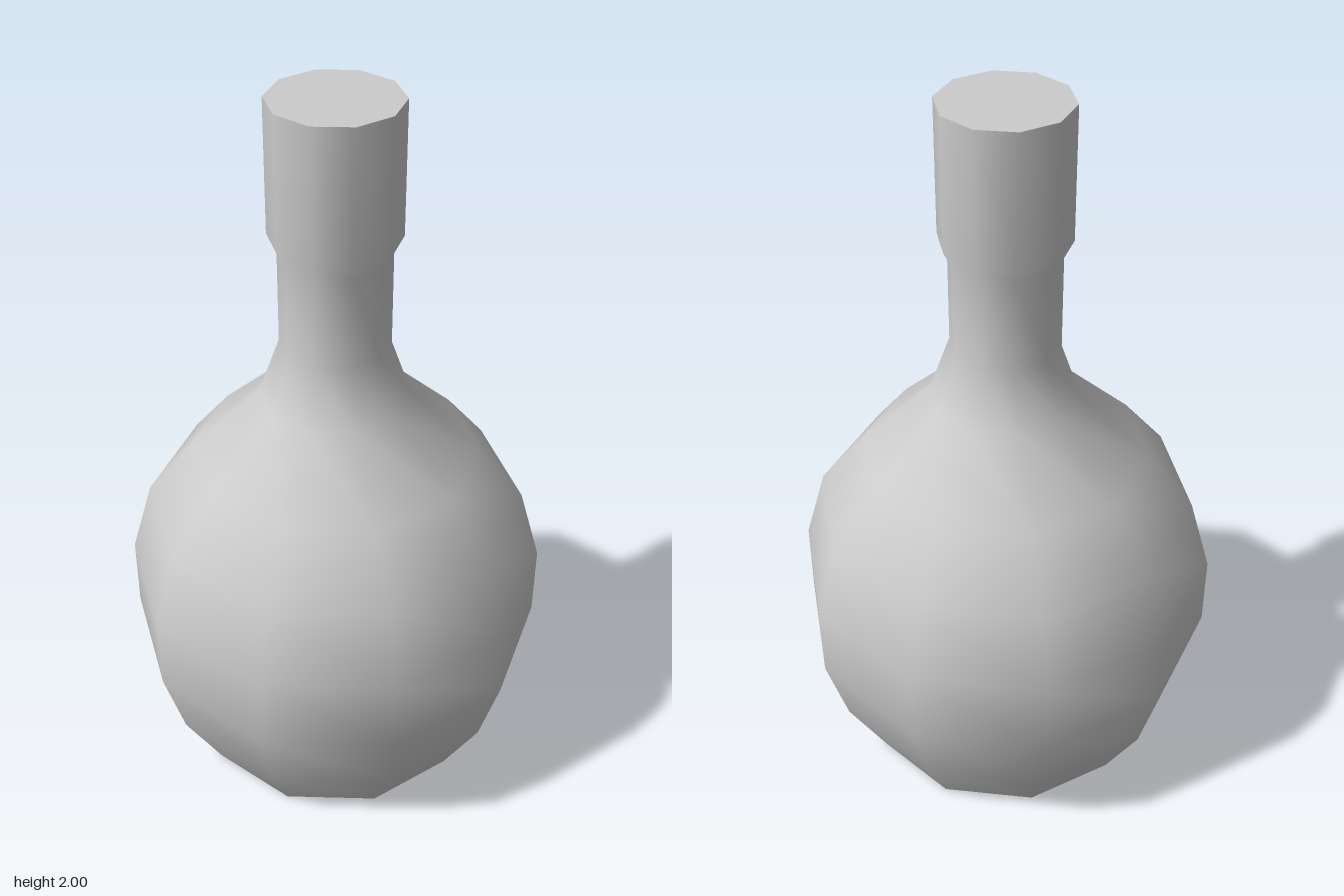
import * as THREE from 'three';

const SIDES = 10;

// [radius, height] from the base to the lip
const PROFILE = [
  [0.41, 0], [0.52, 0.2], [0.58, 0.41], [0.58, 0.62], [0.52, 0.83], [0.39, 0.99],
  [0.203, 1.17], [0.147, 1.33], [0.147, 1.59], [0.172, 1.64], [0.172, 2],
];

export function createModel() {
  const group = new THREE.Group();
  group.name = 'bottle';
  const material = new THREE.MeshStandardMaterial({ color: 0xcccccc });

  const add = (name, geometry) => {
    const mesh = new THREE.Mesh(geometry, material);
    mesh.name = name;
    group.add(mesh);
    return mesh;
  };

  // Smooth ten-sided body, neck and collar
  const points = PROFILE.map(([r, y]) => new THREE.Vector2(r, y));
  add('bottleBody', new THREE.LatheGeometry(points, SIDES));

  // Flat closed ends, aligned with the sides of the body
  const addCap = (name, [radius, y], facing) => {
    const cap = new THREE.CircleGeometry(radius, SIDES, Math.PI / 2);
    cap.rotateX(-facing * Math.PI / 2);
    add(name, cap).position.y = y;
  };
  addCap('base', PROFILE[0], -1);
  addCap('topCap', PROFILE[PROFILE.length - 1], 1);

  return group;
}
